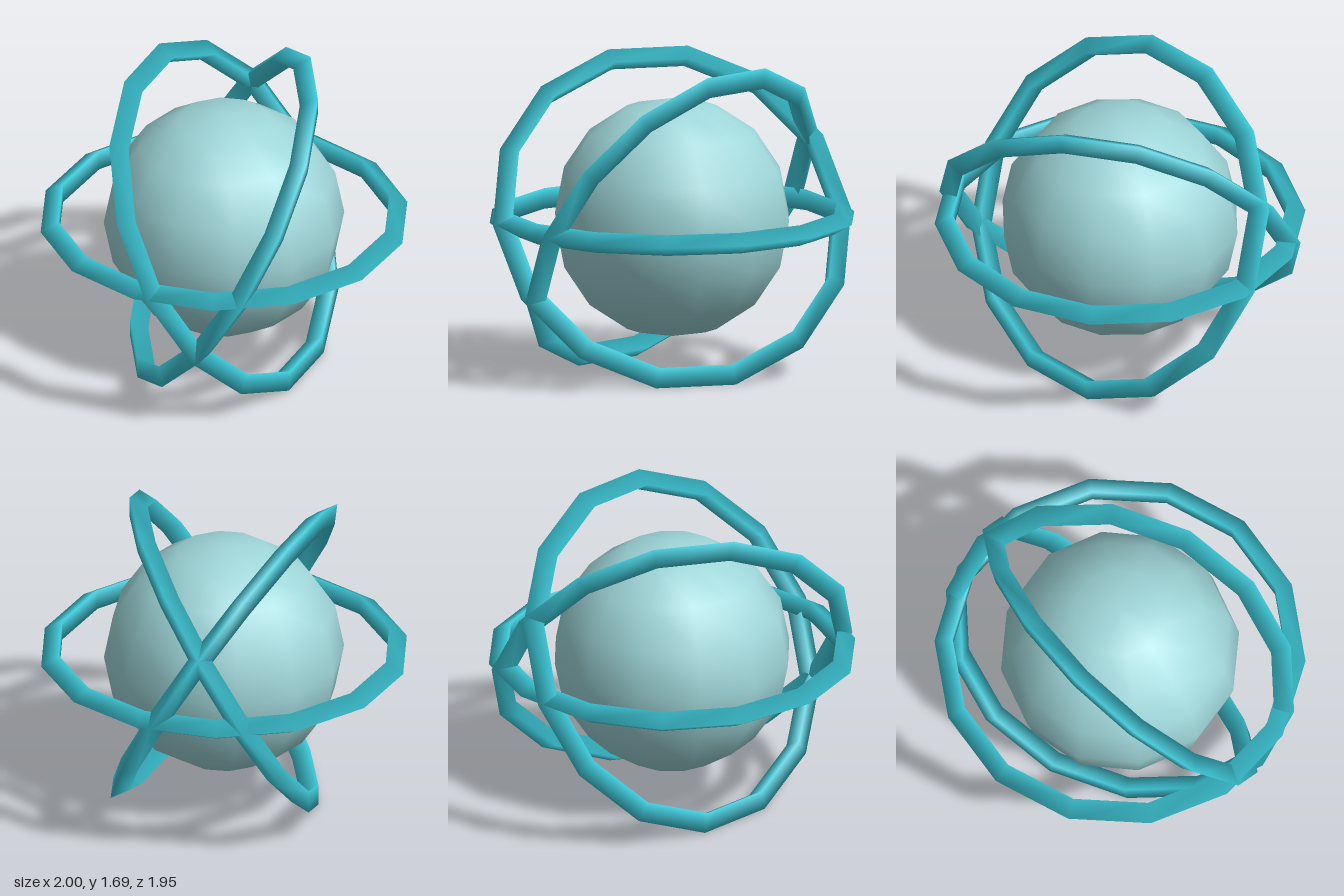
import * as THREE from 'three';

// Faceted core sphere encircled by three triangular-section rings
export function createModel() {
  const model = new THREE.Group();
  const paleTeal = new THREE.MeshStandardMaterial({ color: 0x9fd6d9 });
  paleTeal.name = 'pale teal';
  const cyan = new THREE.MeshStandardMaterial({ color: 0x3cc6d6 });
  cyan.name = 'cyan';

  const centreY = 0.844;
  const rad = THREE.MathUtils.degToRad;

  // Core
  const core = new THREE.Mesh(new THREE.SphereGeometry(0.65, 12, 8), paleTeal);
  core.name = 'core';
  core.position.y = centreY;
  model.add(core);

  // Rings: tilt about their own axis, then turned about the vertical
  const ringGeometry = new THREE.TorusGeometry(0.935, 0.065, 3, 14);
  const rings = [
    ['levelRing', 90, 0],
    ['tiltedRingBack', -30, 30],
    ['tiltedRingFront', -30, -120],
  ];
  for (const [name, tilt, turn] of rings) {
    const ring = new THREE.Mesh(ringGeometry, cyan);
    ring.name = name;
    ring.position.y = centreY;
    ring.rotation.set(rad(tilt), rad(turn), 0, 'YXZ');
    model.add(ring);
  }
  return model;
}
